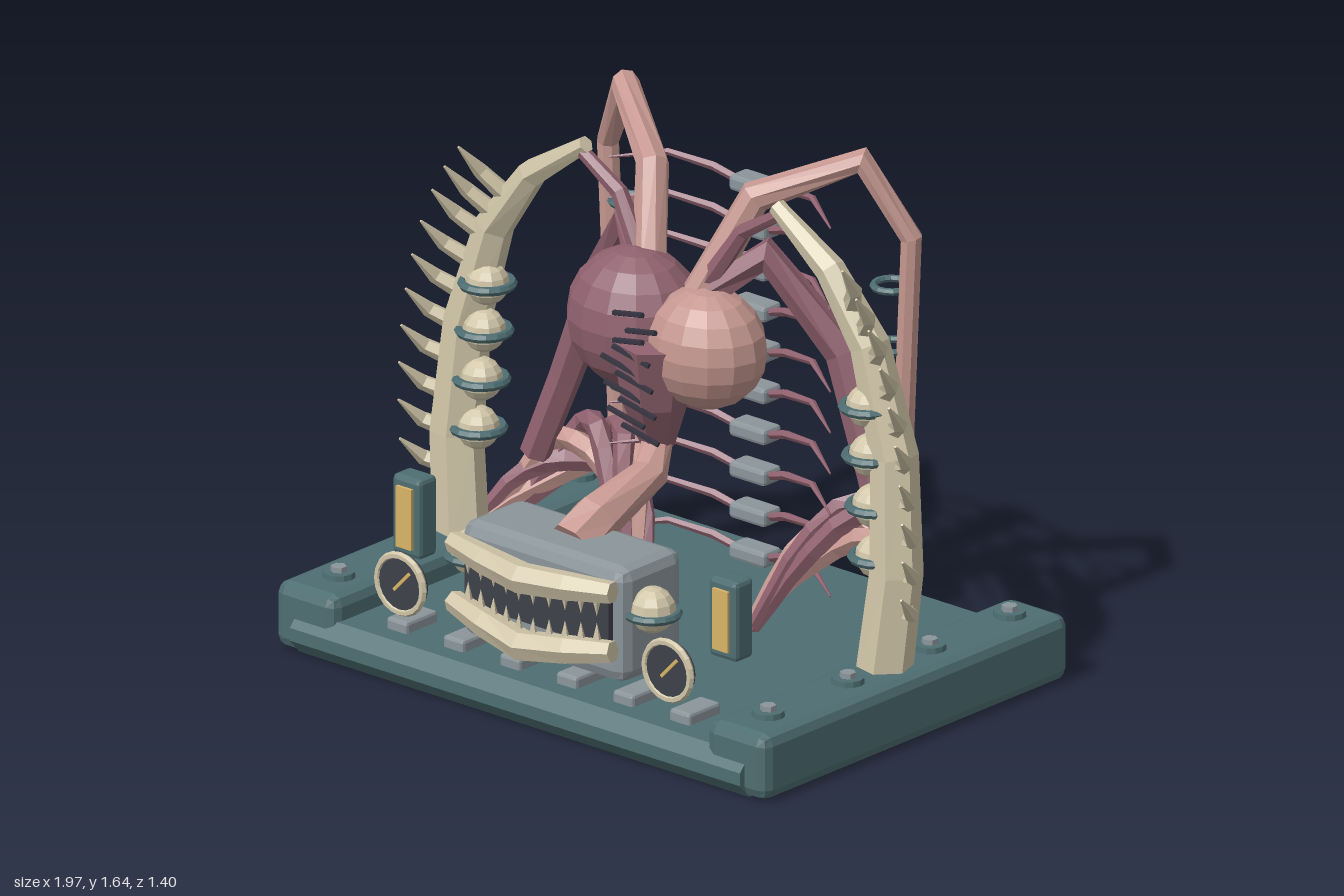
import * as THREE from 'three';
import { RoundedBoxGeometry } from 'three/addons/geometries/RoundedBoxGeometry.js';

const mat = (color) => new THREE.MeshStandardMaterial({ color, flatShading: true });
const V = (x, y, z) => new THREE.Vector3(x, y, z);

// Tapered tube through points: one ring of corners per point, closed at both ends
function limb(points, radii, sides = 7) {
  const p = points.map((a) => V(...a));
  const pos = [], index = [];
  const ref = V(0.31, 0.12, 0.94).normalize();
  p.forEach((c, i) => {
    const t = p[Math.min(i + 1, p.length - 1)].clone().sub(c).normalize();
    if (i > 0) t.add(c.clone().sub(p[i - 1]).normalize()).normalize();
    const u = ref.clone().addScaledVector(t, -ref.dot(t)).normalize();
    const w = t.clone().cross(u);
    for (let s = 0; s < sides; s++) {
      const a = (s / sides) * Math.PI * 2;
      const q = c.clone().addScaledVector(u, Math.cos(a) * radii[i]).addScaledVector(w, Math.sin(a) * radii[i]);
      pos.push(q.x, q.y, q.z);
    }
  });
  for (let i = 0; i < p.length - 1; i++) {
    for (let s = 0; s < sides; s++) {
      const a = i * sides + s, b = i * sides + ((s + 1) % sides);
      index.push(a, b, b + sides, a, b + sides, a + sides);
    }
  }
  const last = (p.length - 1) * sides;
  for (let s = 1; s < sides - 1; s++) index.push(0, s + 1, s, last, last + s, last + s + 1);
  const g = new THREE.BufferGeometry();
  g.setAttribute('position', new THREE.Float32BufferAttribute(pos, 3));
  g.setIndex(index);
  g.computeVertexNormals();
  return g;
}

export function createModel() {
  const model = new THREE.Group();
  const teal = mat(0x4e6e72), mauve = mat(0x8f616e), pink = mat(0xc4968f), cream = mat(0xd0c5a8);
  const grey = mat(0x8b959a), dark = mat(0x3d4149), gold = mat(0xd8b468), stitchMat = mat(0x34323e);
  const add = (name, geo, material, x = 0, y = 0, z = 0) => {
    const m = new THREE.Mesh(geo, material);
    m.name = name;
    m.position.set(x, y, z);
    model.add(m);
    return m;
  };
  const box = (w, h, d, r) => new RoundedBoxGeometry(w, h, d, 1, r);
  const ring = (name, r, tube, x, y, z) => {
    add(name, new THREE.TorusGeometry(r, tube, 6, 16), teal, x, y, z).rotation.x = Math.PI / 2;
  };

  // Base slab with a pointed edge profile, run along x
  const profile = new THREE.Shape([[-0.64, 0], [-0.68, 0.045], [-0.68, 0.085], [-0.64, 0.13],
    [0.65, 0.13], [0.7, 0.085], [0.7, 0.045], [0.65, 0]].map(([a, b]) => new THREE.Vector2(a, b)));
  const slab = new THREE.ExtrudeGeometry(profile, { depth: 1.75, bevelEnabled: false });
  slab.translate(0, 0, -0.875).rotateY(Math.PI / 2);
  add('baseSlab', slab, teal);

  // Small tabs along the front of the base
  for (let i = 0; i < 6; i++) add('baseTab', box(0.08, 0.05, 0.14, 0.01), grey, -0.55 + i * 0.22, 0.14, 0.51);

  // Spine blocks with a pair of bent ribs each
  for (let i = 0; i < 10; i++) {
    const y = 1.39 - i * 0.128;
    add('spineBlock', box(0.14, 0.05, 0.08, 0.012), grey, 0, y, -0.375);
    for (const s of [-1, 1]) {
      add('rib', limb([[s * 0.05, y, -0.37], [s * 0.14, y + 0.03, -0.35], [s * 0.28, y + 0.05, -0.31],
        [s * 0.43, y + 0.02, -0.22]], [0.013, 0.014, 0.011, 0.003], 5), mauve);
    }
  }

  // Heart: two lobes, lower point, stitches, throat
  add('heartLobe', new THREE.SphereGeometry(0.215, 14, 10), mauve, -0.125, 1.06, 0.01).scale.set(1, 1, 0.88);
  add('heartLobe', new THREE.SphereGeometry(0.195, 14, 10), pink, 0.14, 1.03, 0.0).scale.set(1, 0.95, 0.85);
  add('heartPoint', limb([[0.025, 1.06, 0.09], [0.01, 0.86, 0.075], [-0.01, 0.7, 0.04]], [0.135, 0.1, 0.05]), mauve);
  for (let i = 0; i < 10; i++) {
    const y = 1.16 - i * 0.043;
    const st = add('stitch', new THREE.CylinderGeometry(0.009, 0.009, 0.13, 5), stitchMat,
      (i % 2 ? 0.03 : -0.02) + (i < 3 ? 0.04 : 0), y, 0.205 - Math.max(0, i - 3) * 0.007);
    st.rotation.set(0.5, 0, Math.PI / 2 + (i < 3 ? 0.25 : -0.35));
  }
  add('throat', limb([[-0.02, 0.74, 0.02], [0.03, 0.64, 0.12], [0.01, 0.56, 0.33], [0, 0.5, 0.42]],
    [0.045, 0.055, 0.075, 0.08]), pink);

  // Jaw box, mouth, lips and teeth
  add('jawBox', box(0.64, 0.36, 0.27, 0.04), grey, 0, 0.355, 0.43);
  add('mouth', new THREE.BoxGeometry(0.56, 0.16, 0.05), dark, 0, 0.37, 0.56);
  const lips = [[0.48, 0.46, -1], [0.295, 0.25, 1]];
  for (const [yEnd, yMid, dir] of lips) {
    add('lip', limb([[-0.31, yEnd, 0.6], [-0.16, (yEnd + yMid) / 2, 0.63], [0, yMid, 0.65],
      [0.16, (yEnd + yMid) / 2, 0.63], [0.31, yEnd, 0.6]], [0.034, 0.044, 0.048, 0.044, 0.034], 6), cream);
    for (let i = 0; i < 10; i++) {
      const x = -0.25 + i * 0.0556, k = Math.abs(x) / 0.31;
      const tooth = add('tooth', new THREE.ConeGeometry(0.015, 0.06, 5), cream,
        x, yMid + (yEnd - yMid) * k + dir * 0.055, 0.635 - 0.04 * k);
      if (dir < 0) tooth.rotation.x = Math.PI;
    }
  }

  for (const s of [-1, 1]) {
    // Side rail with four bolts
    add('sideRail', box(0.235, 0.205, 1.34, 0.035), teal, s * 0.838, 0.105, -0.01);
    for (const z of [-0.55, -0.2, 0.16, 0.51]) {
      add('boltWasher', new THREE.CylinderGeometry(0.048, 0.05, 0.02, 12), teal, s * 0.835, 0.215, z);
      add('boltHead', new THREE.CylinderGeometry(0.024, 0.026, 0.025, 6), grey, s * 0.835, 0.228, z);
    }

    // Jaw hinge ball with band
    add('hingeBall', new THREE.SphereGeometry(0.07, 10, 8), cream, s * 0.35, 0.4, 0.47);
    ring('hingeBand', 0.076, 0.013, s * 0.35, 0.39, 0.47);

    // Lamp box
    add('lampBox', box(0.11, 0.25, 0.08, 0.015), teal, s * 0.615, 0.435, 0.425);
    add('lampPanel', new THREE.BoxGeometry(0.06, 0.19, 0.02), gold, s * 0.615, 0.435, 0.465);

    // Round gauge
    add('gaugeFace', new THREE.CylinderGeometry(0.085, 0.085, 0.03, 20), dark, s * 0.52, 0.29, 0.585).rotation.x = Math.PI / 2;
    add('gaugeRim', new THREE.TorusGeometry(0.088, 0.012, 6, 20), cream, s * 0.52, 0.29, 0.595);
    add('gaugeNeedle', new THREE.BoxGeometry(0.01, 0.085, 0.008), gold, s * 0.52 + 0.012, 0.302, 0.604).rotation.z = -0.75;

    // Rear pipe arching over to the heart, with rings beside it
    add('rearPipe', limb([[s * 0.53, 0.13, -0.395], [s * 0.59, 1.37, -0.395], [s * 0.46, 1.6, -0.325],
      [s * 0.2, 1.47, -0.15], [s * 0.1, 1.18, -0.02]], [0.034, 0.034, 0.043, 0.05, 0.055], 8), pink);
    for (let i = 0; i < 6; i++) ring('pipeRing', 0.055, 0.011, s * 0.51, 1.2 - i * 0.19, -0.4);

    // Mauve arm from heart to rail
    add('arm', limb([[s * 0.12, 1.18, -0.02], [s * 0.26, 1.31, -0.13], [s * 0.47, 1.03, -0.235],
      [s * 0.6, 0.68, -0.22], [s * 0.7, 0.42, -0.2]], [0.05, 0.055, 0.058, 0.05, 0.047], 6), mauve);

    // Twisted muscle strands
    const core = new THREE.CatmullRomCurve3([V(0.22, 0.15, -0.12), V(0.33, 0.36, -0.2), V(0.47, 0.48, -0.29),
      V(0.62, 0.44, -0.3), V(0.72, 0.33, -0.2), V(0.82, 0.18, -0.08)]);
    for (let k = 0; k < 5; k++) {
      const pts = [], rad = [];
      for (let i = 0; i <= 12; i++) {
        const t = i / 12, c = core.getPoint(t), a = k * 1.257 + t * 5;
        const spread = 0.02 + 0.045 * Math.sin(Math.PI * t);
        pts.push([s * (c.x + Math.cos(a) * spread * 0.6), c.y + Math.sin(a) * spread, c.z + Math.cos(a) * spread * 0.8]);
        rad.push(0.018 + 0.018 * Math.sin(Math.PI * t));
      }
      add('muscleStrand', limb(pts, rad, 5), k % 2 ? pink : mauve);
    }

    // Bone column with thin sinew to the heart
    const bone = [[0.82, 0.15, -0.01], [0.855, 0.5, -0.03], [0.83, 0.85, -0.05], [0.73, 1.17, -0.055],
      [0.58, 1.37, -0.05], [0.37, 1.515, -0.05]];
    add('boneColumn', limb(bone.map(([x, y, z]) => [s * x, y, z]), [0.085, 0.08, 0.072, 0.06, 0.045, 0.026], 6), cream);
    add('sinew', limb([[s * 0.4, 1.5, -0.05], [s * 0.24, 1.4, -0.05], [s * 0.1, 1.18, -0.02]], [0.02, 0.026, 0.035], 6), mauve);

    // Bent horns on the outside of the column
    const line = new THREE.CatmullRomCurve3(bone.map((b) => V(...b)));
    for (let i = 0; i < 10; i++) {
      const t = 0.15 + i * 0.063, c = line.getPoint(t), d = line.getTangent(t);
      const ox = d.y, oy = -d.x;
      const at = (out, up, z) => [s * (c.x + ox * out), c.y + oy * out + up, z];
      add('horn', limb([at(0.03, -0.03, -0.04), at(0.1, 0, 0.01), at(0.125, 0.075, 0.085)], [0.03, 0.024, 0.004], 5), cream);
    }

    // Banded bulbs on the inside of the column
    [0.99, 0.84, 0.685, 0.53].forEach((y, i) => {
      const x = s * (0.74 + i * 0.012);
      add('bulb', new THREE.SphereGeometry(0.066, 10, 8), cream, x, y, -0.035);
      ring('bulbBand', 0.075, 0.014, x, y, -0.035);
    });
  }
  return model;
}
